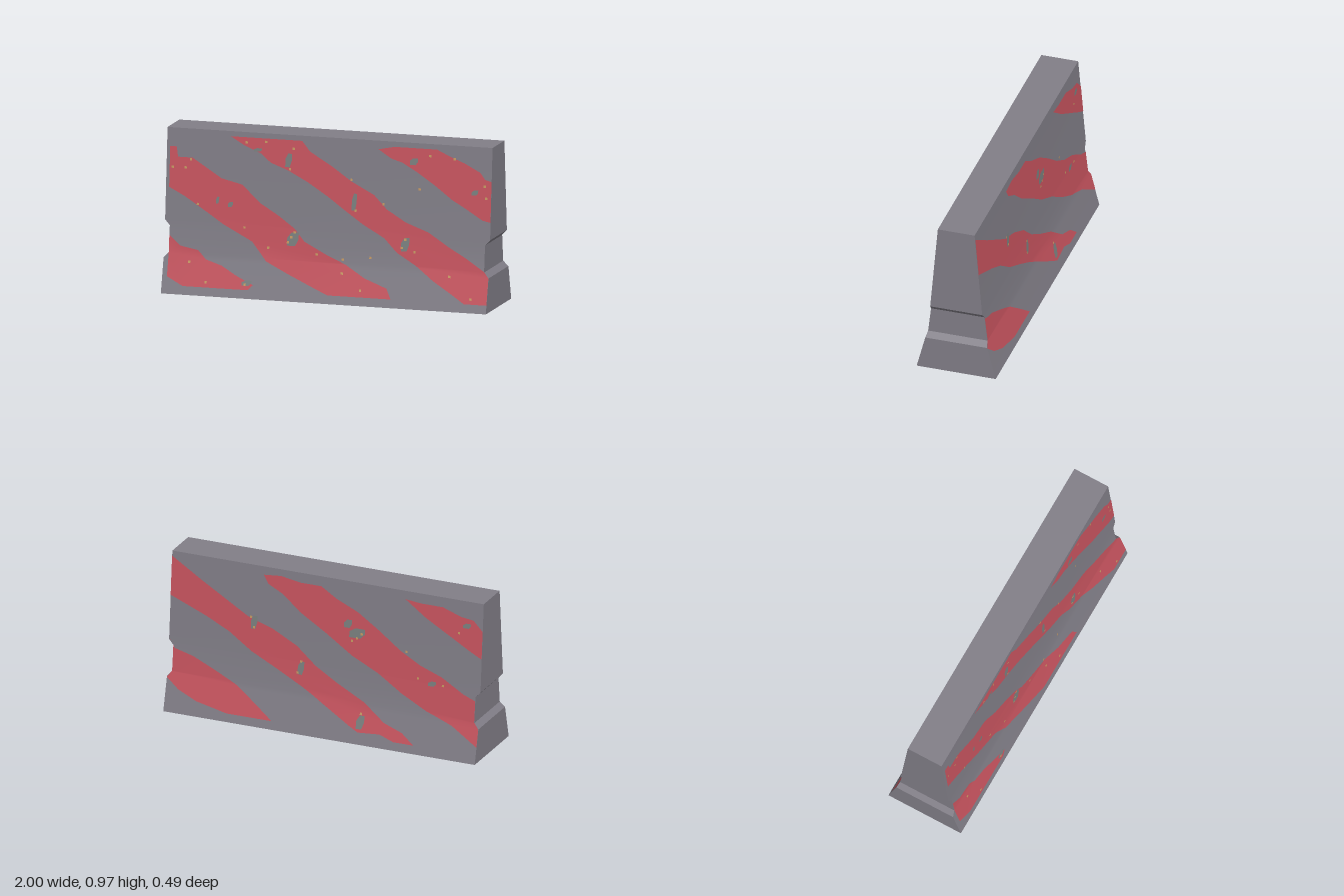
import * as THREE from 'three';
import { mergeGeometries, mergeVertices, toCreasedNormals } from 'three/addons/utils/BufferGeometryUtils.js';

const concrete = new THREE.MeshStandardMaterial({ name: 'concrete grey', color: 0x817e87 });
const paint = new THREE.MeshStandardMaterial({ name: 'faded red paint', color: 0xc8545f });
const worn = new THREE.MeshStandardMaterial({ name: 'worn grey', color: 0x7a807f });
const rust = new THREE.MeshStandardMaterial({ name: 'rust orange', color: 0xc79a62 });

// Wall levels: height, half length (with end notch), half depth
const levels = [
  [0, 1, 0.243], [0.205, 1, 0.19], [0.237, 0.97, 0.182],
  [0.395, 0.97, 0.164], [0.427, 1, 0.16], [0.97, 1, 0.113],
];
const bends = [0, 0.237, 0.427, 0.97];

// Half depth of the wall at a given height
function depthAt(y) {
  let i = 1;
  while (i < levels.length - 1 && y > levels[i][0]) i++;
  const [y0, , d0] = levels[i - 1], [y1, , d1] = levels[i];
  return d0 + (d1 - d0) * (y - y0) / (y1 - y0);
}

// Solid wall from a stack of rectangular cross-sections
function wallGeometry() {
  const pos = [], index = [];
  for (const [y, w, d] of levels) pos.push(-w, y, d, w, y, d, w, y, -d, -w, y, -d);
  const quad = (a, b, c, d) => index.push(a, b, c, a, c, d);
  for (let r = 0; r < levels.length - 1; r++) {
    for (let k = 0; k < 4; k++) {
      const a = r * 4 + k, b = r * 4 + (k + 1) % 4;
      quad(a, b, b + 4, a + 4);
    }
  }
  const t = (levels.length - 1) * 4;
  quad(3, 2, 1, 0);
  quad(t, t + 1, t + 2, t + 3);
  const g = new THREE.BufferGeometry();
  g.setAttribute('position', new THREE.Float32BufferAttribute(pos, 3));
  g.setIndex(index);
  return toCreasedNormals(g, 0.4);
}

// Keep the part of a polygon above (sign 1) or below (sign -1) a height
function clip(points, h, sign) {
  const out = [];
  points.forEach((p, i) => {
    const q = points[(i + 1) % points.length];
    const a = (p[1] - h) * sign, b = (q[1] - h) * sign;
    if (a >= 0) out.push(p);
    if (a * b < 0) out.push([p[0] + (q[0] - p[0]) * a / (a - b), h]);
  });
  return out;
}

// Drape flat polygons over the sloping side, split where the slope bends
function drape(polygons, lift) {
  const parts = [];
  for (const poly of polygons) {
    for (let i = 0; i < 3; i++) {
      const piece = clip(clip(poly, bends[i], 1), bends[i + 1], -1);
      if (piece.length < 3) continue;
      const g = new THREE.ShapeGeometry(new THREE.Shape(piece.map(p => new THREE.Vector2(...p))));
      const pos = g.attributes.position;
      for (let v = 0; v < pos.count; v++) pos.setZ(v, depthAt(pos.getY(v)) + lift);
      g.deleteAttribute('normal');
      g.deleteAttribute('uv');
      parts.push(g);
    }
  }
  const merged = mergeVertices(mergeGeometries(parts));
  merged.computeVertexNormals();
  return merged;
}

// Irregular six-sided chip and small square speck
const chip = ([x, y, w, h]) => [
  [x - w / 2, y - h / 2], [x + w * 0.2, y - h / 2], [x + w / 2, y],
  [x + w / 2, y + h / 2], [x - w * 0.1, y + h / 2], [x - w / 2, y + h * 0.1],
];
const speck = ([x, y]) => [
  [x - 0.007, y - 0.007], [x + 0.007, y - 0.007], [x + 0.007, y + 0.007], [x - 0.007, y + 0.007],
];

// Painted stripes of the front, as ragged outlines
const frontLow = [
  [-0.97, 0.34], [-0.9, 0.28], [-0.79, 0.26], [-0.74, 0.21], [-0.64, 0.18], [-0.55, 0.13],
  [-0.44, 0.08], [-0.47, 0.05], [-0.87, 0.05], [-0.97, 0.1],
];
const frontLeft = [
  [-0.98, 0.86], [-0.94, 0.86], [-0.93, 0.8], [-0.84, 0.8], [-0.66, 0.69], [-0.53, 0.66], [-0.42, 0.56],
  [-0.3, 0.49], [-0.2, 0.42], [-0.14, 0.35], [0, 0.28], [0.12, 0.23], [0.24, 0.16], [0.38, 0.11],
  [0.41, 0.05], [0.02, 0.05], [-0.1, 0.1], [-0.24, 0.16], [-0.37, 0.22], [-0.46, 0.33],
  [-0.64, 0.42], [-0.75, 0.49], [-0.88, 0.57], [-0.98, 0.62],
];
const frontMiddle = [
  [-0.61, 0.94], [-0.17, 0.94], [-0.12, 0.88], [0.02, 0.8], [0.14, 0.72], [0.28, 0.65], [0.36, 0.57],
  [0.48, 0.5], [0.62, 0.45], [0.75, 0.37], [0.86, 0.31], [0.97, 0.24], [1, 0.205], [1, 0.05],
  [0.86, 0.05], [0.78, 0.1], [0.66, 0.17], [0.55, 0.25], [0.43, 0.32], [0.35, 0.4], [0.22, 0.47],
  [0.1, 0.55], [0, 0.62], [-0.13, 0.7], [-0.25, 0.76], [-0.36, 0.8], [-0.42, 0.85], [-0.52, 0.89],
];
const frontHigh = [
  [0.3, 0.92], [0.4, 0.94], [0.66, 0.94], [0.75, 0.9], [0.83, 0.87], [0.93, 0.82], [0.96, 0.78],
  [1, 0.77], [1, 0.53], [0.95, 0.54], [0.85, 0.6], [0.76, 0.65], [0.65, 0.73], [0.54, 0.8],
  [0.45, 0.85], [0.38, 0.87],
];
const frontChips = [
  [-0.21, 0.36, 0.07, 0.08], [0.16, 0.6, 0.03, 0.1], [-0.25, 0.82, 0.04, 0.08], [0.48, 0.37, 0.05, 0.08],
  [0.9, 0.7, 0.04, 0.03], [-0.6, 0.54, 0.03, 0.03], [-0.48, 0.09, 0.06, 0.03], [0.52, 0.86, 0.05, 0.04],
  [-0.44, 0.87, 0.05, 0.02], [-0.68, 0.56, 0.02, 0.04],
];
const frontSpecks = [
  [-0.96, 0.74], [-0.85, 0.79], [-0.88, 0.74], [-0.8, 0.53], [-0.51, 0.91], [-0.39, 0.92], [-0.22, 0.89],
  [-0.24, 0.77], [0.14, 0.73], [0.17, 0.55], [0.34, 0.6], [0.56, 0.7], [0.62, 0.9], [0.77, 0.89],
  [0.96, 0.74], [0.97, 0.67], [-0.51, 0.41], [-0.2, 0.4], [-0.24, 0.34], [-0.22, 0.37], [-0.36, 0.3],
  [-0.06, 0.28], [0.1, 0.26], [0.1, 0.18], [0.27, 0.28], [0.48, 0.4], [0.46, 0.35], [0.54, 0.33],
  [0.22, 0.09], [0.76, 0.2], [0.9, 0.08], [-0.84, 0.19], [-0.73, 0.08], [-0.49, 0.08],
];

// Painted stripes of the back, measured as it faces the viewer
const backLow = [
  [-0.99, 0.43], [-0.96, 0.38], [-0.84, 0.35], [-0.7, 0.29], [-0.55, 0.22], [-0.42, 0.13], [-0.31, 0.05],
  [-0.6, 0.05], [-0.8, 0.09], [-0.92, 0.14], [-1, 0.2], [-0.97, 0.24], [-0.97, 0.4],
];
const backLeft = [
  [-1, 0.94], [-0.8, 0.82], [-0.5, 0.65], [-0.34, 0.6], [-0.18, 0.52], [-0.06, 0.42], [0.08, 0.34],
  [0.26, 0.25], [0.4, 0.15], [0.52, 0.11], [0.6, 0.05], [0.47, 0.05], [0.38, 0.08], [0.24, 0.07],
  [0.18, 0.1], [0, 0.2], [-0.14, 0.28], [-0.3, 0.36], [-0.47, 0.44], [-0.62, 0.54], [-0.77, 0.61], [-1, 0.7],
];
const backMiddle = [
  [-0.41, 0.92], [-0.3, 0.93], [-0.17, 0.91], [-0.04, 0.91], [0.06, 0.85], [0.2, 0.79], [0.34, 0.7],
  [0.48, 0.6], [0.61, 0.53], [0.75, 0.48], [0.89, 0.4], [0.97, 0.37], [0.97, 0.24], [1, 0.205], [1, 0.1],
  [0.83, 0.2], [0.66, 0.26], [0.5, 0.34], [0.34, 0.44], [0.17, 0.52], [0, 0.63], [-0.17, 0.73],
  [-0.28, 0.82], [-0.38, 0.87],
];
const backHigh = [
  [0.5, 0.92], [0.6, 0.91], [0.74, 0.91], [0.86, 0.87], [0.94, 0.86], [1, 0.8], [1, 0.63],
  [0.92, 0.67], [0.83, 0.72], [0.72, 0.78], [0.63, 0.83],
];
const backChips = [
  [-0.46, 0.62, 0.04, 0.08], [0.2, 0.66, 0.1, 0.06], [0.14, 0.71, 0.05, 0.05], [-0.15, 0.39, 0.04, 0.08],
  [0.25, 0.13, 0.05, 0.08], [0.69, 0.43, 0.05, 0.03], [0.9, 0.82, 0.05, 0.03],
];
const backSpecks = [
  [-0.46, 0.59], [-0.48, 0.65], [0.2, 0.63], [0.23, 0.66], [0.17, 0.61], [-0.15, 0.43], [-0.17, 0.36],
  [0.25, 0.18], [0.52, 0.6], [0.6, 0.45], [0.76, 0.43], [0.85, 0.77],
];

// All the paint on one side of the wall
function paintedSide(name, stripes, chips, specks) {
  const side = new THREE.Group();
  side.name = name;
  const add = (part, polygons, lift, material) => {
    const mesh = new THREE.Mesh(drape(polygons, lift), material);
    mesh.name = part;
    side.add(mesh);
  };
  add('stripes', stripes, 0.002, paint);
  add('paintChips', chips.map(chip), 0.003, worn);
  add('rustSpecks', specks.map(speck), 0.004, rust);
  return side;
}

export function createModel() {
  const model = new THREE.Group();
  model.name = 'roadBarrier';
  const wall = new THREE.Mesh(wallGeometry(), concrete);
  wall.name = 'barrierWall';
  const front = paintedSide('frontPaint', [frontLow, frontLeft, frontMiddle, frontHigh], frontChips, frontSpecks);
  const back = paintedSide('backPaint', [backLow, backLeft, backMiddle, backHigh], backChips, backSpecks);
  back.rotation.y = Math.PI;
  model.add(wall, front, back);
  return model;
}
